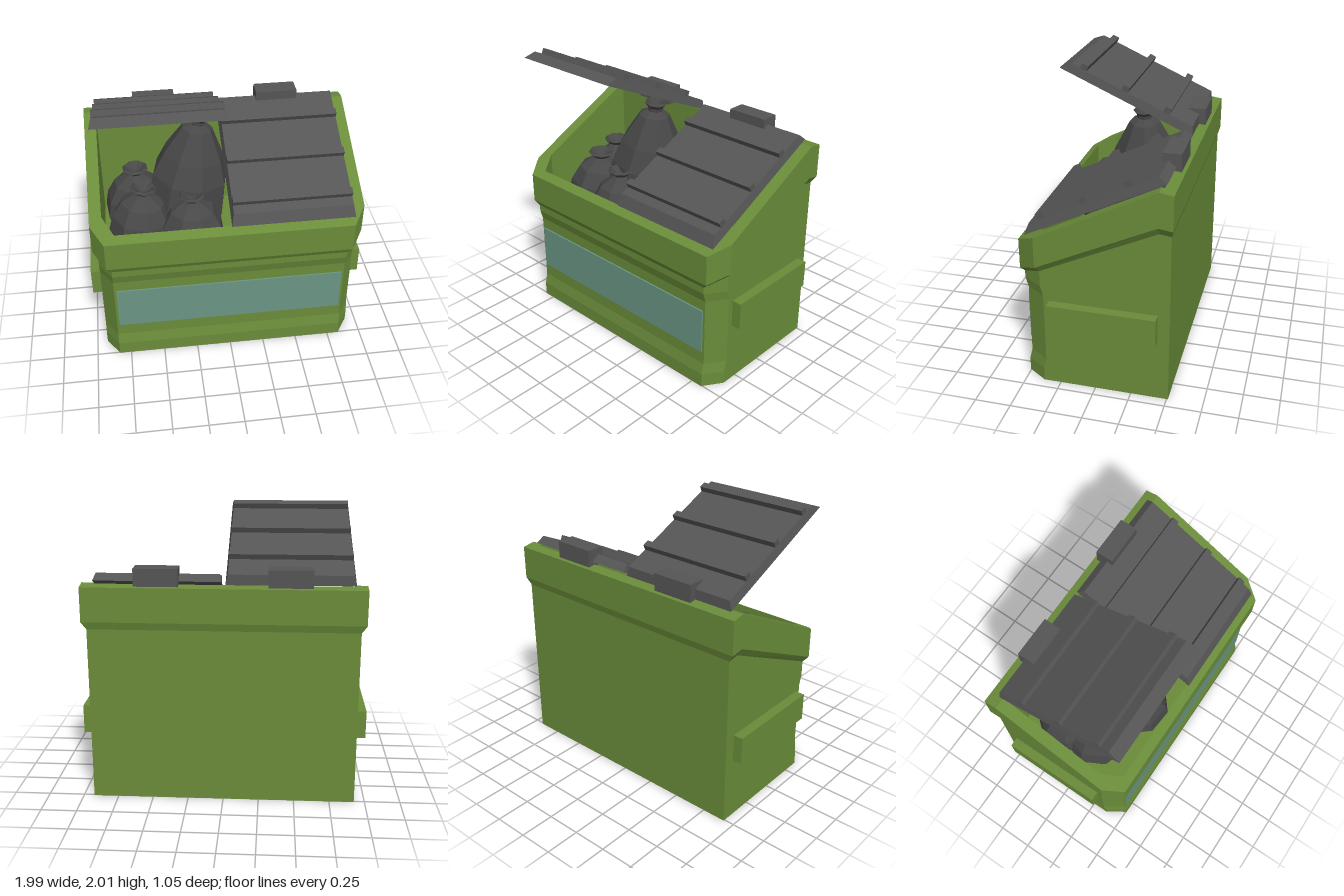
import * as THREE from 'three';

const paint = (color, extra = {}) => new THREE.MeshStandardMaterial({ color, flatShading: true, ...extra });
const green = paint(0x6a8c3a);
const teal = paint(0x6a9584);
const lidGrey = paint(0x555555);
const bagGrey = paint(0x484848, { side: THREE.DoubleSide });

function add(parent, name, geometry, material, x = 0, y = 0, z = 0) {
  const mesh = new THREE.Mesh(geometry, material);
  mesh.name = name;
  mesh.position.set(x, y, z);
  parent.add(mesh);
  return mesh;
}

// Outline with cut front corners; height may depend on z
function ring(w, back, front, height, cutX = 0.09, cutZ = 0.135) {
  const half = [[w, -back], [w, -0.43], [w, front - cutZ], [w - cutX, front]];
  const all = [...half, ...half.map(([x, z]) => [-x, z]).reverse()];
  return all.map(([x, z]) => [x, typeof height === 'number' ? height : height(z), z]);
}

// Joins successive rings with faces and closes both ends
function loft(rings) {
  const pos = [];
  const tri = (...pts) => pts.forEach(p => pos.push(...p));
  const n = rings[0].length;
  for (let k = 0; k < rings.length - 1; k++) {
    const lo = rings[k], hi = rings[k + 1];
    for (let i = 0; i < n; i++) {
      const j = (i + 1) % n;
      tri(lo[j], lo[i], hi[i]);
      tri(lo[j], hi[i], hi[j]);
    }
  }
  const first = rings[0], last = rings[rings.length - 1];
  for (let i = 1; i < n - 1; i++) {
    tri(first[0], first[i], first[i + 1]);
    tri(last[0], last[i + 1], last[i]);
  }
  const g = new THREE.BufferGeometry();
  g.setAttribute('position', new THREE.Float32BufferAttribute(pos, 3));
  g.computeVertexNormals();
  return g;
}

// Sloping height that bends slightly down behind z = -0.43
const slope = (front, yFront, rise) => z =>
  yFront + (front - Math.max(z, -0.43)) * rise + Math.min(0, z + 0.43) * 0.15;

// Lid: hinge edge at the origin, reaching along +z, with bevelled edges and ribs
function makeLid(name, x, y, z, tilt) {
  const lid = new THREE.Group();
  lid.name = name;
  const length = 1.05, thick = 0.062;
  const g = new THREE.BoxGeometry(0.87, thick, length).translate(0, thick / 2, length / 2);
  const p = g.attributes.position;
  for (let i = 0; i < p.count; i++) {
    if (p.getY(i) < thick / 2) continue;
    p.setX(i, p.getX(i) * 0.965);
    p.setZ(i, p.getZ(i) > 0.5 ? length - 0.065 : 0.03);
  }
  g.computeVertexNormals();
  add(lid, 'lidPanel', g, lidGrey);
  for (const s of [0.235, 0.565, 0.893]) {
    add(lid, 'lidRib', new THREE.BoxGeometry(0.84, 0.06, 0.05), lidGrey, 0, 0.072, s);
  }
  lid.position.set(x, y, z);
  lid.rotation.x = tilt;
  return lid;
}

// Tied bag, placed by the top of its neck
function makeBag(name, profile, x, y, z, tiltZ, turn) {
  const top = Math.max(...profile.map(p => p[1]));
  const g = new THREE.LatheGeometry(profile.map(([r, h]) => new THREE.Vector2(r, h - top)), 8);
  const bag = new THREE.Mesh(g, bagGrey);
  bag.name = name;
  bag.position.set(x, y, z);
  bag.rotation.set(0, turn, tiltZ, 'ZXY');
  return bag;
}

export function createModel() {
  const model = new THREE.Group();
  model.name = 'dumpster';

  // Hollow body with recessed front and overhanging sloped rim
  const rimTop = slope(0.525, 1.065, 0.502);
  add(model, 'body', loft([
    ring(0.925, 0.51, 0.505, 0),
    ring(0.925, 0.51, 0.505, 0.1),
    ring(0.925, 0.51, 0.485, 0.18),
    ring(0.925, 0.51, 0.485, 0.69),
    ring(0.925, 0.51, 0.505, 0.76),
    ring(0.925, 0.51, 0.505, slope(0.505, 0.81, 0.47)),
    ring(0.96, 0.525, 0.525, slope(0.525, 0.85, 0.476)),
    ring(0.96, 0.525, 0.525, rimTop),
    ring(0.875, 0.45, 0.46, rimTop, 0.08, 0.13),
    ring(0.875, 0.45, 0.46, 0.68, 0.08, 0.13),
  ]), green);

  add(model, 'frontPanel', new THREE.BoxGeometry(1.635, 0.33, 0.03), teal, 0, 0.445, 0.481);

  // Side lifting blocks and lid hinges
  for (const side of [-1, 1]) {
    add(model, 'liftingBlock', new THREE.BoxGeometry(0.08, 0.2, 0.74), green, side * 0.953, 0.555, -0.06);
    add(model, 'hinge', new THREE.BoxGeometry(0.3, 0.125, 0.13), lidGrey, side * 0.45, 1.593, -0.435);
  }

  model.add(makeLid('closedLid', 0.445, 1.565, -0.465, 0.454));
  model.add(makeLid('openLid', -0.45, 1.545, -0.455, -0.42));

  // Rubbish bags
  const large = [[0, 0], [0.25, 0.02], [0.3, 0.2], [0.28, 0.45], [0.22, 0.62], [0.11, 0.83],
    [0.055, 0.865], [0.055, 0.89], [0.08, 0.92], [0.065, 0.935], [0.03, 0.9], [0, 0.89]];
  const small = [[0, 0], [0.2, 0.02], [0.24, 0.15], [0.22, 0.27], [0.16, 0.38], [0.075, 0.44],
    [0.055, 0.46], [0.095, 0.495], [0.08, 0.51], [0.035, 0.475], [0, 0.465]];
  model.add(makeBag('largeBag', large, -0.15, 1.68, -0.08, -0.15, 0.2));
  model.add(makeBag('frontBag', small, -0.24, 1.21, 0.2, 0, 0.3));
  model.add(makeBag('sideBag', small, -0.57, 1.22, 0.09, -0.08, 0.1));
  model.add(makeBag('backBag', small, -0.62, 1.25, -0.125, 0, 0.5));

  return model;
}
